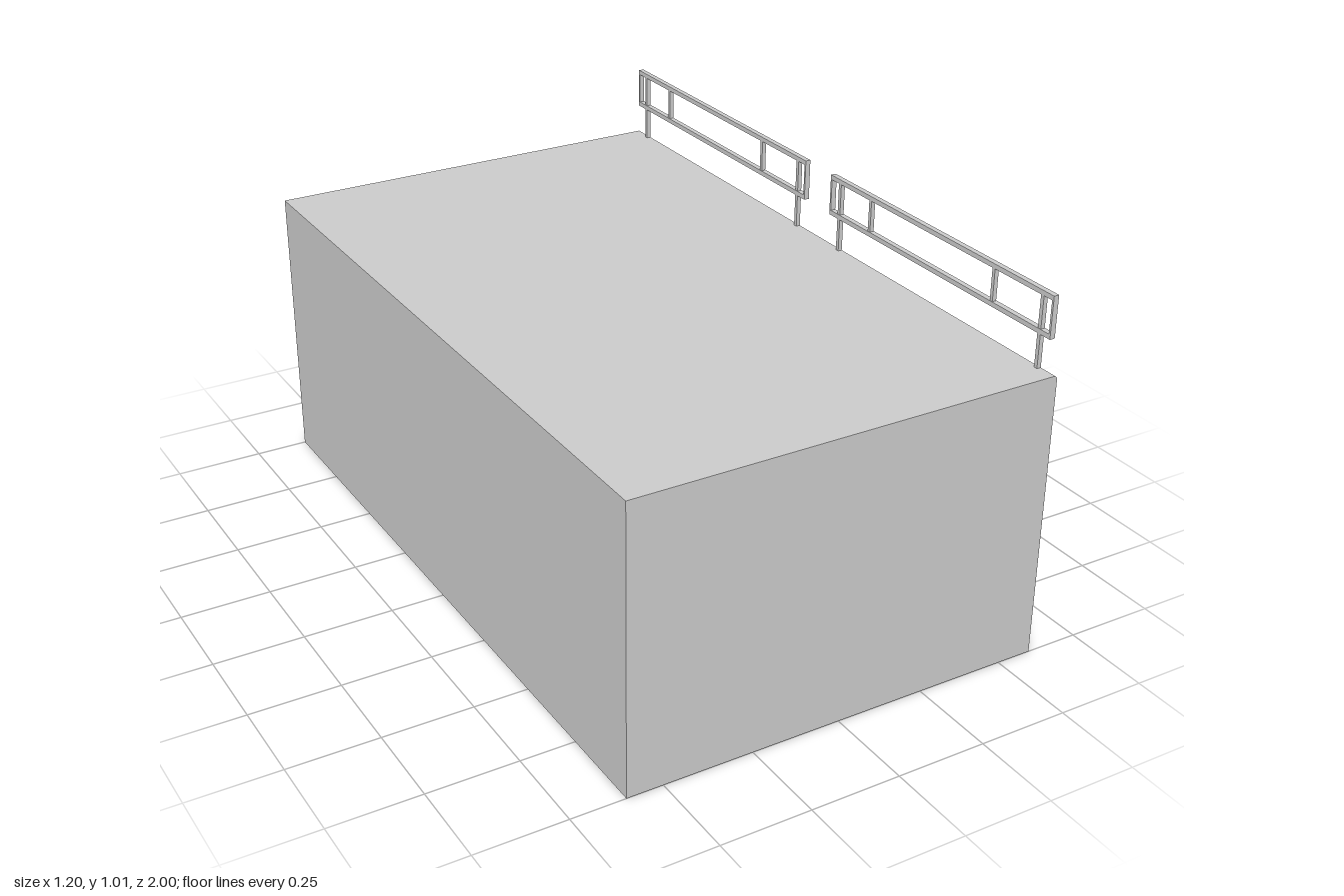
import * as THREE from 'three';

const material = new THREE.MeshStandardMaterial({ color: 0xcccccc, flatShading: true });
const railX = 0.587, depth = 0.015;
const bottom = 0.893, top = 1.008, bar = 0.013;

function addBox(parent, name, sy, sz, y, z, sx = depth) {
  const mesh = new THREE.Mesh(new THREE.BoxGeometry(sx, sy, sz), material);
  mesh.name = name;
  mesh.position.set(railX, y, z);
  parent.add(mesh);
}

// One railing section, centred on z = 0
function createRailing(name) {
  const railing = new THREE.Group();
  railing.name = name;
  const half = 0.46, midY = (bottom + top) / 2, height = top - bottom;
  addBox(railing, 'topRail', bar, 2 * half, top - bar / 2, 0);
  addBox(railing, 'lowerRail', bar, 2 * half, bottom + bar / 2, 0);
  for (const side of [-1, 1]) {
    addBox(railing, 'endBar', height, 0.006, midY, side * (half - 0.003));
    // Posts stand on the platform and reach the top rail
    addBox(railing, 'post', top - 0.005 - 0.795, 0.011, (top - 0.005 + 0.795) / 2, side * 0.418, 0.012);
  }
  for (const z of [0.235, -0.279]) {
    addBox(railing, 'infillBar', height - bar, 0.01, midY, z, 0.012);
  }
  return railing;
}

export function createModel() {
  const model = new THREE.Group();
  model.name = 'platformWithRailings';

  // Solid block with a small chamfer along its left top edge
  const c = 0.007;
  const section = new THREE.Shape([
    [-0.6, 0], [0.6, 0], [0.6, 0.8 - c], [0.6 - c, 0.8], [-0.6, 0.8],
  ].map(([x, y]) => new THREE.Vector2(x, y)));
  const geometry = new THREE.ExtrudeGeometry(section, { depth: 2, bevelEnabled: false });
  geometry.translate(0, 0, -1);
  const block = new THREE.Mesh(geometry, material);
  block.name = 'platformBlock';
  model.add(block);

  // Two equal railing sections with a gap between them
  for (const [name, z] of [['frontRailing', 0.523], ['backRailing', -0.518]]) {
    const railing = createRailing(name);
    railing.position.z = z;
    model.add(railing);
  }
  return model;
}
